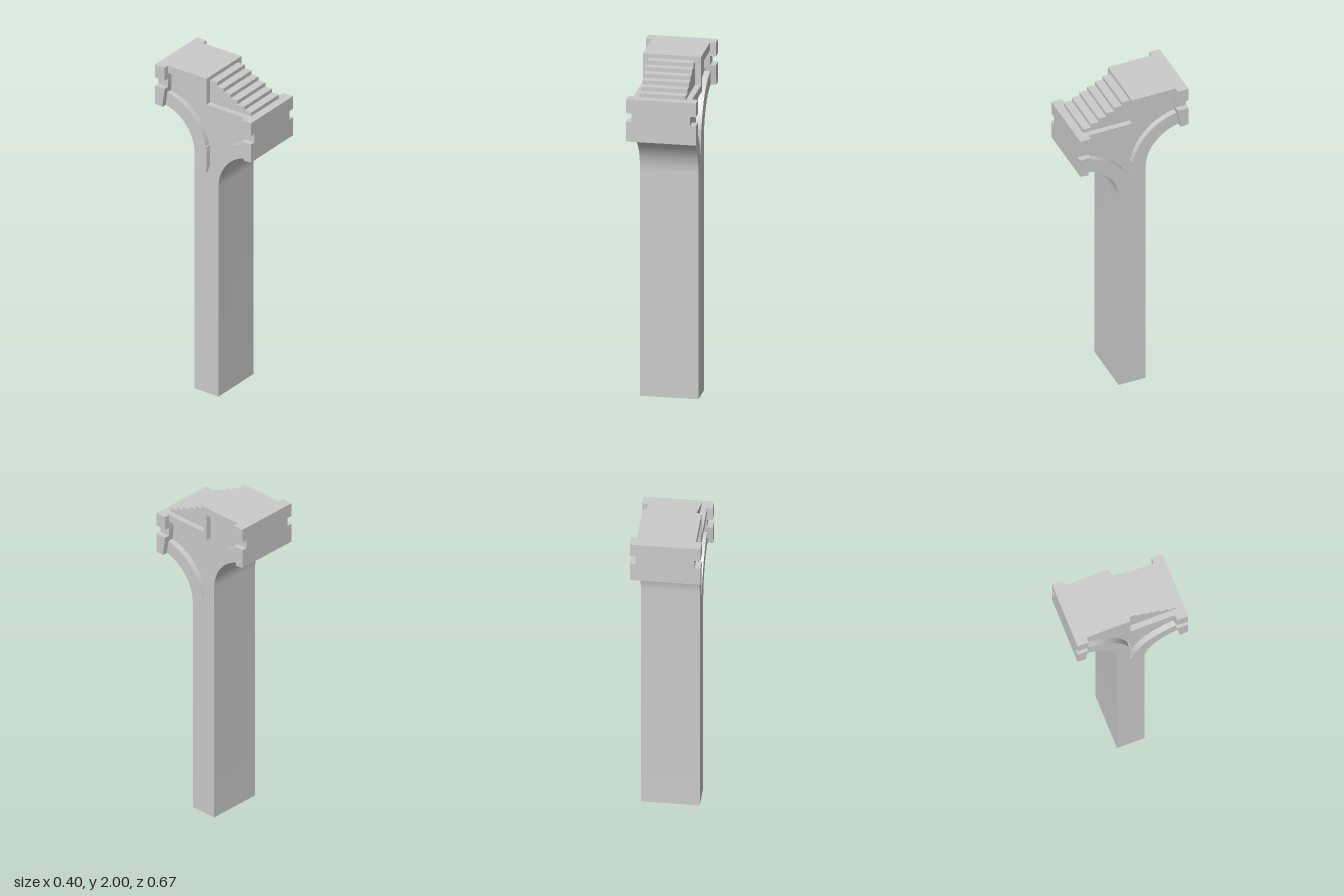
import * as THREE from 'three';
import { toCreasedNormals } from 'three/addons/utils/BufferGeometryUtils.js';

const material = new THREE.MeshStandardMaterial({ color: 0xcccccc });
const ARC = 0.25;        // underside curve radius
const RIM = 0.333;       // recess curve radius
const FRONT = { z: 0.333, y: 1.335 };  // curve centres
const BACK = { z: -0.333, y: 1.5 };
const H = Math.PI / 2;

// Extrude a (z, y) profile symmetrically along x
function extrudeAcross(name, shape, halfWidth) {
  const geo = new THREE.ExtrudeGeometry(shape, {
    depth: halfWidth * 2, bevelEnabled: false, curveSegments: 20,
  });
  geo.translate(0, 0, -halfWidth);
  geo.rotateY(-H);
  const mesh = new THREE.Mesh(toCreasedNormals(geo, 0.5), material);
  mesh.name = name;
  return mesh;
}

function bodyOutline() {
  const s = new THREE.Shape();
  s.moveTo(0.083, 0);
  s.lineTo(0.083, FRONT.y);
  s.absarc(FRONT.z, FRONT.y, ARC, Math.PI, H + 0.2, true);
  s.lineTo(0.3, 1.62);
  s.lineTo(0.3, 1.835);
  s.lineTo(0, 1.835);
  s.lineTo(0, 2);
  s.lineTo(-0.3, 2);
  s.lineTo(-0.3, 1.785);
  s.absarc(BACK.z, BACK.y, ARC, H - 0.2, 0, true);
  s.lineTo(-0.083, 0);
  s.closePath();
  return s;
}

function recessOutline() {
  const s = new THREE.Shape();
  s.moveTo(0.28, 1.79);
  s.lineTo(-0.023, 1.79);
  s.lineTo(-0.023, 1.953);
  s.lineTo(-0.28, 1.953);
  s.absarc(BACK.z, BACK.y, RIM, H - 0.16, 0.2, true);
  s.lineTo(0, 1.566);
  s.lineTo(0, 1.4);
  s.absarc(FRONT.z, FRONT.y, RIM, Math.PI - 0.2, H + 0.16, true);
  s.closePath();
  return s;
}

// Notched end plate; its lower inner edge leans outward along the curve's radius
function endPlate(name, bottom, side) {
  const half = [[0.2, 0], [0.2, 0.115], [0.167, 0.115], [0.167, 0.168], [0.2, 0.168], [0.2, 0.25]];
  const pts = [...half, ...half.map(([x, y]) => [-x, y]).reverse()];
  const shape = new THREE.Shape(pts.map(([x, y]) => new THREE.Vector2(x, y)));
  let geo = new THREE.ExtrudeGeometry(shape, { depth: 0.066, bevelEnabled: false });
  const p = geo.attributes.position;
  for (let i = 0; i < p.count; i++) {
    if (p.getZ(i) > 0.01) continue;
    const y = p.getY(i);
    if (y < 0.01) p.setXYZ(i, p.getX(i), -0.005, 0.017);
  }
  geo.translate(0, bottom, 0.267);
  if (side < 0) geo.rotateY(Math.PI);
  geo = toCreasedNormals(geo, 0.3);
  const mesh = new THREE.Mesh(geo, material);
  mesh.name = name;
  return mesh;
}

function stairOutline() {
  const steps = 6, run = 0.0475, rise = 0.0235;
  const s = new THREE.Shape();
  s.moveTo(0, 1.835);
  s.lineTo(steps * run, 1.835);
  for (let i = 1; i <= steps; i++) {
    const y = 1.835 + i * rise;
    s.lineTo((steps - i + 1) * run, y);
    s.lineTo((steps - i) * run, y);
  }
  s.closePath();
  return s;
}

export function createModel() {
  const model = new THREE.Group();
  model.name = 'steppedColumn';

  // Column and flared head, open at the recess, then closed by a thinner web
  const body = bodyOutline();
  body.holes.push(recessOutline());
  model.add(extrudeAcross('columnAndHead', body, 0.167));
  model.add(extrudeAcross('recessedWeb', recessOutline(), 0.133));

  model.add(extrudeAcross('stairs', stairOutline(), 0.133));
  model.add(endPlate('frontEndPlate', 1.585, 1));
  model.add(endPlate('backEndPlate', 1.75, -1));
  return model;
}
